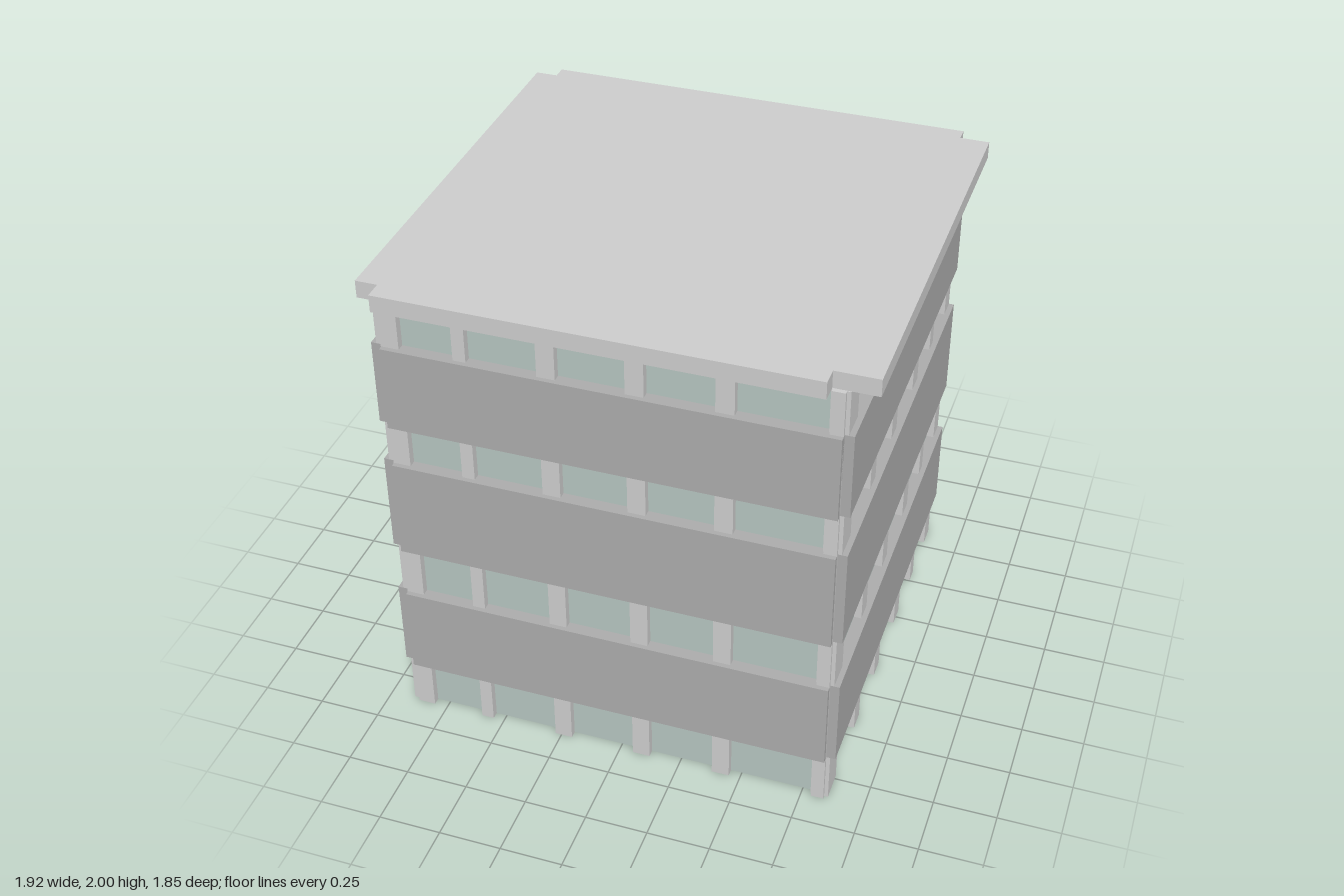
import * as THREE from 'three';

export function createModel() {
  const model = new THREE.Group();
  model.name = 'officeBlock';

  const concrete = new THREE.MeshStandardMaterial({ color: 0xcccccc });
  const panel = new THREE.MeshStandardMaterial({ color: 0xaaaaaa });
  const glass = new THREE.MeshStandardMaterial({ color: 0xb4c3be });

  // Box given by its limits on each axis
  function block(name, material, [x0, x1], [y0, y1], [z0, z1]) {
    const mesh = new THREE.Mesh(new THREE.BoxGeometry(x1 - x0, y1 - y0, z1 - z0), material);
    mesh.position.set((x0 + x1) / 2, (y0 + y1) / 2, (z0 + z1) / 2);
    mesh.name = name;
    model.add(mesh);
  }

  const eaves = 1.93;
  const core = { x: [-0.87, 0.825], z: [-0.843, 0.835] };

  // Glazed core behind the facade
  block('glazedCore', glass, core.x, [0, eaves], core.z);

  // Piers as [start, end] along each facade
  const frontPiers = [[-0.875, -0.805], [-0.595, -0.545], [-0.275, -0.205], [0.055, 0.125], [0.385, 0.455], [0.79, 0.84]];
  const backPiers = [[-0.875, -0.805], [-0.475, -0.405], [-0.1, -0.03], [0.39, 0.45], [0.77, 0.84]];
  const sidePiers = [[-0.865, -0.78], [-0.565, -0.505], [-0.295, -0.21], [0.05, 0.13], [0.375, 0.455], [0.735, 0.852]];
  const inset = 0.04;
  const height = [0, eaves];
  for (const p of frontPiers) block('frontPier', concrete, p, height, [core.z[1] - inset, 0.866]);
  for (const p of backPiers) block('backPier', concrete, p, height, [-0.874, core.z[0] + inset]);
  for (const p of sidePiers) {
    block('leftPier', concrete, [core.x[1] - inset, 0.855], height, p);
    block('rightPier', concrete, [-0.9, core.x[0] + inset], height, p);
  }

  // Spandrel bands between the window rows
  for (const y of [[0.215, 0.59], [0.81, 1.225], [1.4, 1.75]]) {
    block('frontBand', panel, [-0.873, 0.84], y, [core.z[1] - inset, 0.885]);
    block('backBand', panel, [-0.873, 0.84], y, [-0.893, core.z[0] + inset]);
    block('leftBand', panel, [core.x[1] - inset, 0.876], y, [-0.866, 0.853]);
    block('rightBand', panel, [-0.92, core.x[0] + inset], y, [-0.866, 0.853]);
  }

  // Flat roof slab with notched corners, outline in x and -z
  const outline = [
    [-0.873, -0.92], [0.787, -0.92], [0.787, -0.848], [0.956, -0.848],
    [0.956, 0.868], [0.84, 0.868], [0.84, 0.926], [-0.873, 0.926],
    [-0.873, 0.868], [-0.96, 0.868], [-0.96, -0.848], [-0.873, -0.848],
  ];
  const shape = new THREE.Shape(outline.map(([x, y]) => new THREE.Vector2(x, y)));
  const slab = new THREE.ExtrudeGeometry(shape, { depth: 2 - eaves, bevelEnabled: false });
  slab.rotateX(-Math.PI / 2);
  const roof = new THREE.Mesh(slab, concrete);
  roof.position.y = eaves;
  roof.name = 'roofSlab';
  model.add(roof);

  return model;
}
